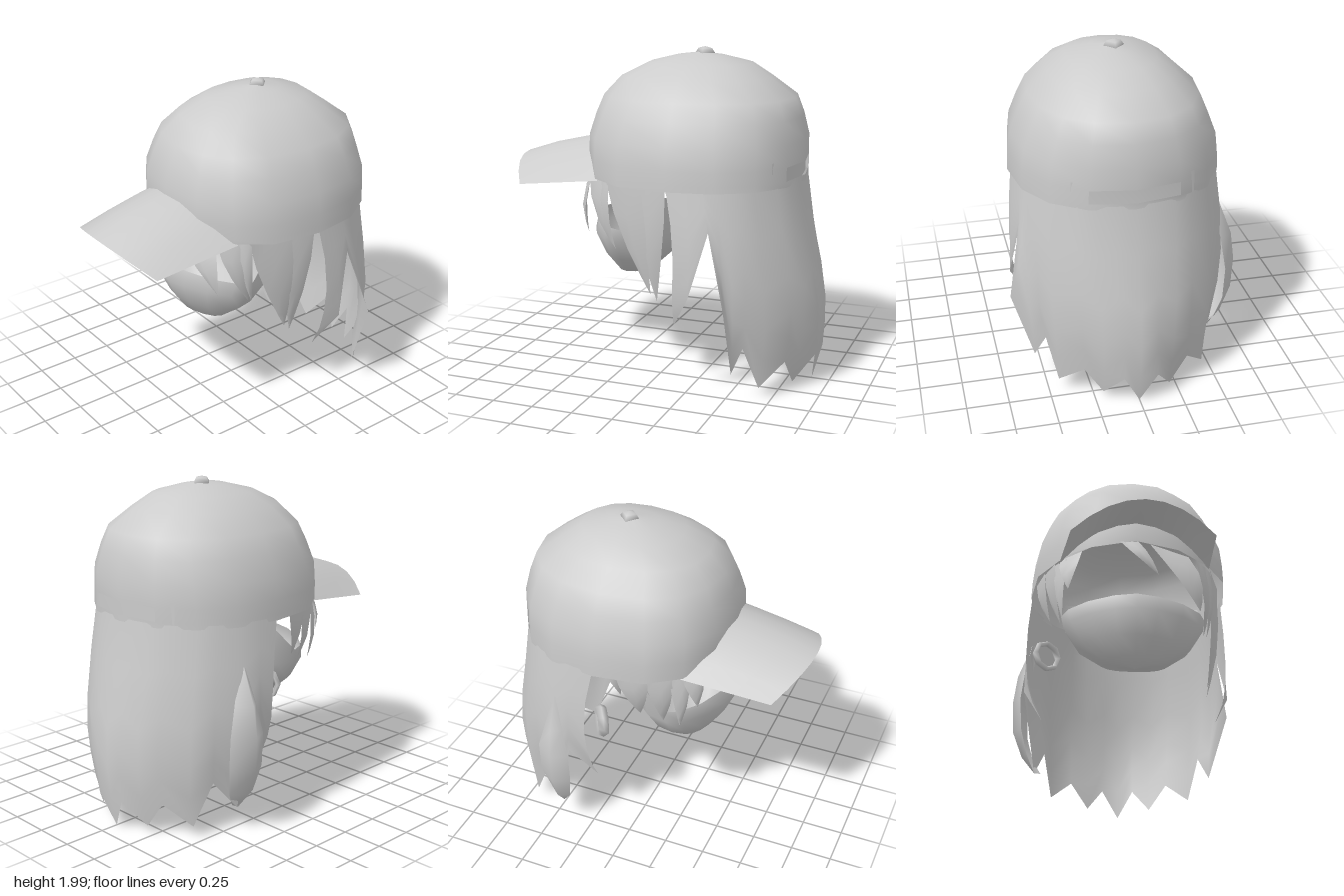
import * as THREE from 'three';

const mat = new THREE.MeshStandardMaterial({ color: 0xcccccc, side: THREE.DoubleSide });
const lerp = THREE.MathUtils.lerp;

// Smooth surface through rows of [x, y, z] points; skip(r, c) leaves cells open
function sheet(name, rows, closed = false, skip = () => false) {
  const n = rows[0].length, index = [];
  for (let r = 0; r < rows.length - 1; r++) {
    for (let c = 0; c < (closed ? n : n - 1); c++) {
      if (skip(r, c)) continue;
      const a = r * n + c, b = r * n + (c + 1) % n;
      index.push(a, b, a + n, b, b + n, a + n);
    }
  }
  const geo = new THREE.BufferGeometry();
  geo.setAttribute('position', new THREE.Float32BufferAttribute(rows.flat(2), 3));
  geo.setIndex(index);
  geo.computeVertexNormals();
  const mesh = new THREE.Mesh(geo, mat);
  mesh.name = name;
  return mesh;
}

// Piecewise linear lookup in rows sorted by falling y (first entry)
function sample(table, y) {
  let i = 0;
  while (i < table.length - 2 && y < table[i + 1][0]) i++;
  const [p, q] = [table[i], table[i + 1]];
  const t = THREE.MathUtils.clamp((p[0] - y) / (p[0] - q[0]), 0, 1);
  return p.map((v, k) => lerp(v, q[k], t));
}

// Signed power: below 1 squares an ellipse off, above 1 makes it more pointed
const power = (v, e) => Math.sign(v) * Math.abs(v) ** e;

// Cap crown: 16-sided rings of [y, half width, front z, back z], with an opening at the back
function crown() {
  const profile = [[1.24, 0.617, 0.485, -0.82], [1.275, 0.616, 0.487, -0.82], [1.355, 0.612, 0.49, -0.82],
    [1.48, 0.597, 0.49, -0.82], [1.61, 0.545, 0.45, -0.79], [1.72, 0.49, 0.405, -0.75], [1.83, 0.37, 0.305, -0.6],
    [1.91, 0.26, 0.14, -0.48], [1.95, 0.12, -0.02, -0.32], [1.97, 0, -0.17, -0.17]];
  const rows = profile.map(([y, w, f, b]) => Array.from({ length: 16 }, (_, i) => {
    const a = i * Math.PI / 8, c = Math.cos(a), mid = lerp(-0.17, (f + b) / 2, 0.3);
    const low = 1.24 + 0.08 * Math.max(0, c) ** 6;
    const z = mid + (c > 0 ? (f - mid) * power(c, 0.8) : (mid - b) * power(c, 0.9));
    return [0.013 + w * power(Math.sin(a), 0.9), Math.max(y, low), z];
  }));
  return sheet('capCrown', rows, true, (r, c) => r === 1 && (c === 7 || c === 8));
}

// Brim: arched sheet running forward from inside the crown wall
function brim() {
  const rows = [0, 0.2, 0.6, 1].map(t => Array.from({ length: 9 }, (_, i) => {
    const u = 1 - i / 4, q = u * u;
    const y = lerp(1.44 - 0.2 * q, 1.31 - 0.135 * q, t) + 0.015 * Math.sin(t * Math.PI) * (1 - q);
    return [lerp(0.018 + 0.455 * u, 0.03 + 0.41 * u, t), y, lerp(0.475 - 0.165 * q, 0.98 - 0.14 * q, t)];
  }));
  return sheet('capBrim', rows);
}

// Lower face: open bowl of [half width, front z, back z, front y, side y, back y]
function jaw() {
  const rings = [[0, 0.27, 0.27, 0.585, 0.585, 0.585], [0.2, 0.36, 0.12, 0.64, 0.63, 0.63],
    [0.34, 0.43, 0, 0.74, 0.74, 0.74], [0.42, 0.495, -0.08, 0.88, 0.87, 0.88],
    [0.435, 0.47, -0.1, 0.98, 0.95, 1.13]];
  const rows = rings.map(([w, f, b, yf, ys, yb]) => Array.from({ length: 16 }, (_, i) => {
    const a = i * Math.PI / 8, c = Math.cos(a), mid = (f + b) / 2;
    const y = c > 0 ? lerp(ys, yf, c * c) : lerp(ys, yb, Math.min(1, -c * 2));
    return [0.02 + w * power(Math.sin(a), c > 0 ? 1.25 : 0.8), y, mid + (f - mid) * power(c, c > 0 ? 1.15 : 0.8)];
  }));
  return sheet('lowerFace', rows, true);
}

// Long back hair with a jagged hem and an open split on the left side
function backHair() {
  const back = [[0.44, 0.08, -0.68], [0.31, 0.21, -0.8], [0.2, 0.05, -0.82], [0.1, 0.2, -0.93], [0, 0.01, -0.89]];
  const right = [[0.51, 0.42, -0.2], [0.63, 0.66, -0.33], [0.55, 0.16, -0.44], [0.49, 0.33, -0.57], ...back];
  const left = [[0.56, 0.44, -0.2], [0.66, 0.64, -0.32], [0.6, 1.02, -0.42], [0.69, 0.6, -0.54],
    [0.56, 0.19, -0.55], [0.5, 0.33, -0.6], ...back.slice(0, -1)];
  const hem = [...right.map(([x, y, z]) => [-x, y, z]), ...left.reverse()];
  // y, half width, centre z, depth behind the centre, roundness
  const shape = [[1.26, 0.603, -0.17, 0.642, 0.9], [0.95, 0.64, -0.23, 0.63, 0.95],
    [0.6, 0.67, -0.23, 0.725, 1.03], [0.3, 0.65, -0.23, 0.75, 1.05]];
  const wall = (a, y) => {
    const [, w, zc, d, e] = sample(shape, y);
    return [0.008 + w * power(Math.cos(a), e), y, zc - d * power(Math.sin(a), e)];
  };
  const rows = [0, 0.25, 0.5, 0.7, 0.85, 1].map(t => hem.map(h => {
    const a = Math.atan2(Math.max(0, -h[2] - 0.23) / 0.7, h[0] / 0.67);
    const end = wall(a, h[1]);
    return wall(a, lerp(1.26, h[1], t)).map((v, k) => v + (h[k] - end[k]) * t ** 3);
  }));
  return sheet('backHair', rows);
}

// Leaf-shaped lock bulging over the right side of the back hair
function sideLock() {
  const rows = [[1.02, -0.42, -0.42, 0.59, 0.59], [0.8, -0.37, -0.5, 0.63, 0.675], [0.62, -0.33, -0.55, 0.65, 0.7],
    [0.42, -0.33, -0.55, 0.64, 0.69], [0.26, -0.36, -0.51, 0.6, 0.63], [0.16, -0.44, -0.44, 0.55, 0.55]]
    .map(([y, z0, z1, edge, mid]) => [[0.04 - edge, y, z1], [-mid, y, -0.43], [-edge, y, z0]]);
  return sheet('sideLock', rows);
}

// Tapering lock from root edge a-b to a tip, ridged and bowed outward
function lock(name, a, b, tip, bow = 0.015) {
  const rows = [0, 0.3, 0.6, 0.85, 1].map(t => {
    const width = 1 - t ** 1.6, out = Math.sin(t * Math.PI);
    return [0, 0.5, 1].map(u => {
      const p = a.map((v, k) => {
        const root = lerp(v, b[k], u), centre = (v + b[k]) / 2;
        return lerp(centre, tip[k], t) + (root - centre) * width;
      });
      const len = Math.hypot(p[0], p[2] + 0.17), push = out * (u === 0.5 ? bow + 0.02 : bow);
      return [p[0] + p[0] / len * push, p[1], p[2] + (p[2] + 0.17) / len * push];
    });
  });
  return sheet(name, rows);
}

export function createModel() {
  const model = new THREE.Group();
  model.name = 'cappedHead';
  model.add(crown(), brim(), jaw(), backHair(), sideLock());

  // Button on top of the cap
  const button = new THREE.Mesh(new THREE.SphereGeometry(0.06, 4, 4), mat);
  button.name = 'capButton';
  button.scale.y = 0.6;
  button.position.set(0, 1.964, -0.19);
  model.add(button);

  // Panel behind the rear opening
  model.add(sheet('rearPanel', [1.39, 1.25].map(y =>
    [[-0.34, y, -0.715], [-0.25, y, -0.755], [0, y, -0.79], [0.27, y, -0.755], [0.36, y, -0.715]])));

  // Fringe under the brim
  model.add(
    lock('fringe', [0.1, 1.31, 0.47], [0.34, 1.28, 0.38], [0.4, 0.91, 0.4], 0.04),
    lock('fringe', [-0.08, 1.32, 0.475], [0.03, 1.32, 0.48], [0.15, 1.1, 0.48]),
    lock('fringe', [-0.43, 1.27, 0.31], [-0.3, 1.29, 0.4], [-0.38, 1.03, 0.4]));

  // Locks on the left side of the face
  model.add(
    lock('leftLock', [0.38, 1.26, 0.4], [0.45, 1.26, 0.29], [0.44, 0.83, 0.21], 0.04),
    lock('leftLock', [0.44, 1.26, 0.31], [0.49, 1.26, 0.23], [0.46, 0.83, 0.2], 0.03),
    lock('leftLock', [0.49, 1.26, 0.25], [0.57, 1.26, 0], [0.49, 0.59, -0.03], 0.02),
    lock('leftLock', [0.55, 1.26, 0.05], [0.59, 1.26, -0.16], [0.49, 0.55, -0.07], 0.02));

  // Shorter locks on the right side of the face
  model.add(
    lock('rightLock', [-0.46, 1.26, 0.25], [-0.39, 1.26, 0.35], [-0.41, 0.88, 0.3], 0.02),
    lock('rightLock', [-0.52, 1.26, 0.12], [-0.46, 1.26, 0.27], [-0.42, 0.9, 0.2], 0.02),
    lock('rightLock', [-0.57, 1.26, -0.04], [-0.52, 1.26, 0.14], [-0.48, 0.96, 0.08]));

  // Broad earring
  const earring = new THREE.Mesh(new THREE.TorusGeometry(0.085, 0.016, 4, 8), mat);
  earring.name = 'earring';
  earring.scale.z = 2;
  earring.position.set(-0.495, 0.84, -0.17);
  earring.rotation.y = 0.6;
  model.add(earring);
  return model;
}
